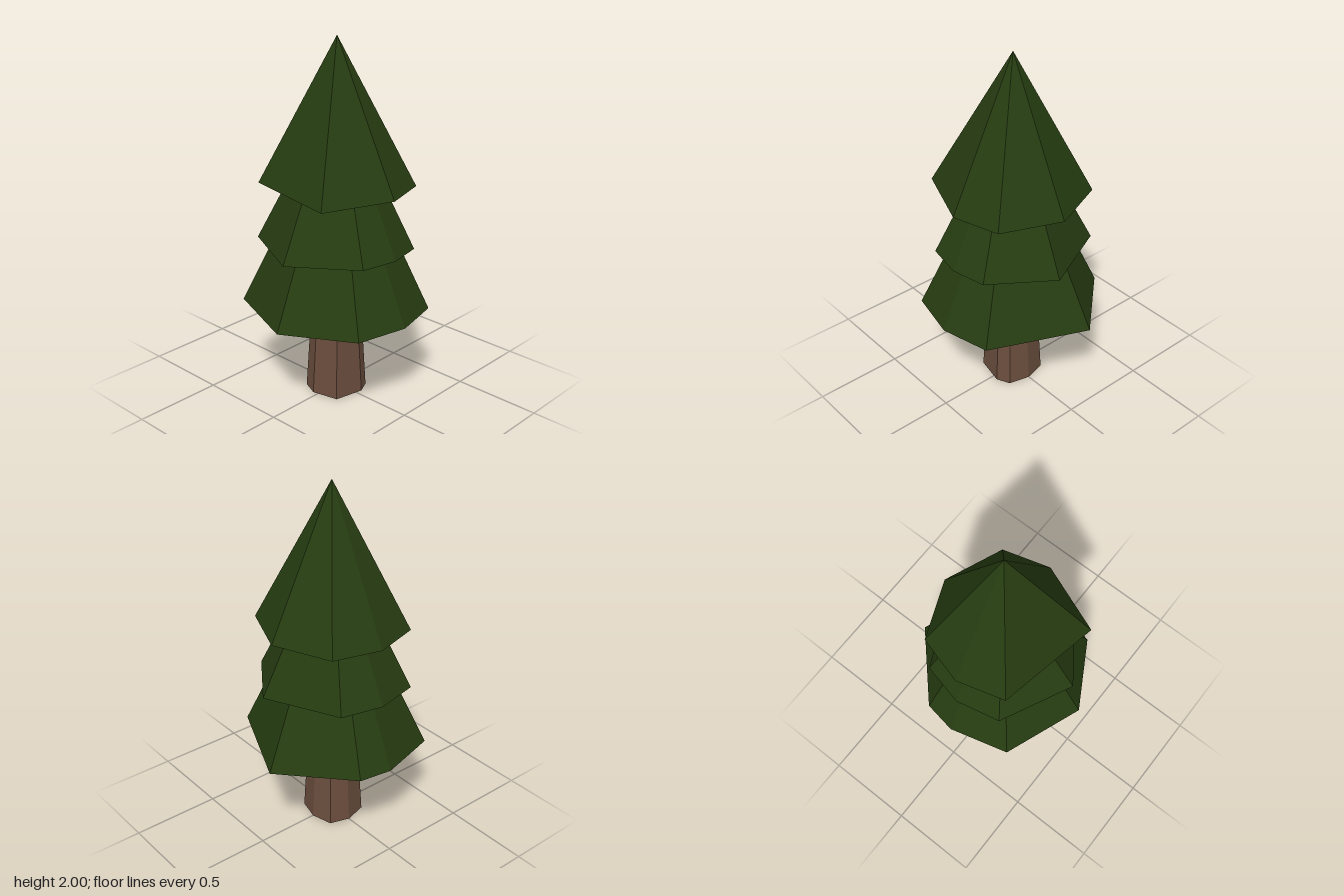
import * as THREE from 'three';

// Faceted solid from an irregular [x, z] ring at y0, scaled by `taper` at y1.
// Rings run anticlockwise seen from above; taper 0 gives a point.
function taperedSolid(ring, y0, y1, taper) {
  const pos = [];
  const tri = (...points) => points.forEach((p) => pos.push(...p));
  const low = ring.map(([x, z]) => [x, y0, z]);
  const high = ring.map(([x, z]) => [x * taper, y1, z * taper]);
  for (let i = 0; i < ring.length; i++) {
    const j = (i + 1) % ring.length;
    tri(low[j], low[i], [0, y0, 0]);
    tri(low[i], low[j], high[j]);
    if (taper > 0) {
      tri(low[i], high[j], high[i]);
      tri(high[i], high[j], [0, y1, 0]);
    }
  }
  const geometry = new THREE.BufferGeometry();
  geometry.setAttribute('position', new THREE.Float32BufferAttribute(pos, 3));
  geometry.computeVertexNormals();
  return geometry;
}

export function createModel() {
  const tree = new THREE.Group();
  tree.name = 'pineTree';

  const needles = new THREE.MeshStandardMaterial({ color: 0x263c11, flatShading: true });
  needles.name = 'needleGreen';
  const bark = new THREE.MeshStandardMaterial({ color: 0x6b4e3e, flatShading: true });
  bark.name = 'barkBrown';

  const add = (name, material, ring, y0, y1, taper) => {
    const mesh = new THREE.Mesh(taperedSolid(ring, y0, y1, taper), material);
    mesh.name = name;
    tree.add(mesh);
  };

  // Trunk, narrowing upwards into the lowest tier
  add('trunk', bark, [
    [-0.03, 0.163], [0.12, 0.13], [0.155, -0.035], [0.12, -0.11],
    [0, -0.14], [-0.12, -0.11], [-0.155, 0], [-0.12, 0.125],
  ], 0, 0.6, 0.78);

  // Three overlapping tiers of branches
  add('lowerBranches', needles, [
    [0.05, 0.507], [0.425, 0.29], [0.49, 0], [0.425, -0.277],
    [-0.105, -0.51], [-0.46, -0.185], [-0.49, 0], [-0.4, 0.335],
  ], 0.52, 1.6, 0);
  add('middleBranches', needles, [
    [0.04, 0.445], [0.375, 0.205], [0.415, 0], [0.375, -0.2],
    [0.05, -0.427], [-0.36, -0.235], [-0.415, 0], [-0.36, 0.25],
  ], 0.88, 1.73, 0);
  add('topBranches', needles, [
    [0.25, 0.38], [0.4, 0], [0.325, -0.265], [0, -0.397],
    [-0.325, -0.265], [-0.4, 0], [-0.325, 0.267],
  ], 1.205, 2, 0);

  return tree;
}
